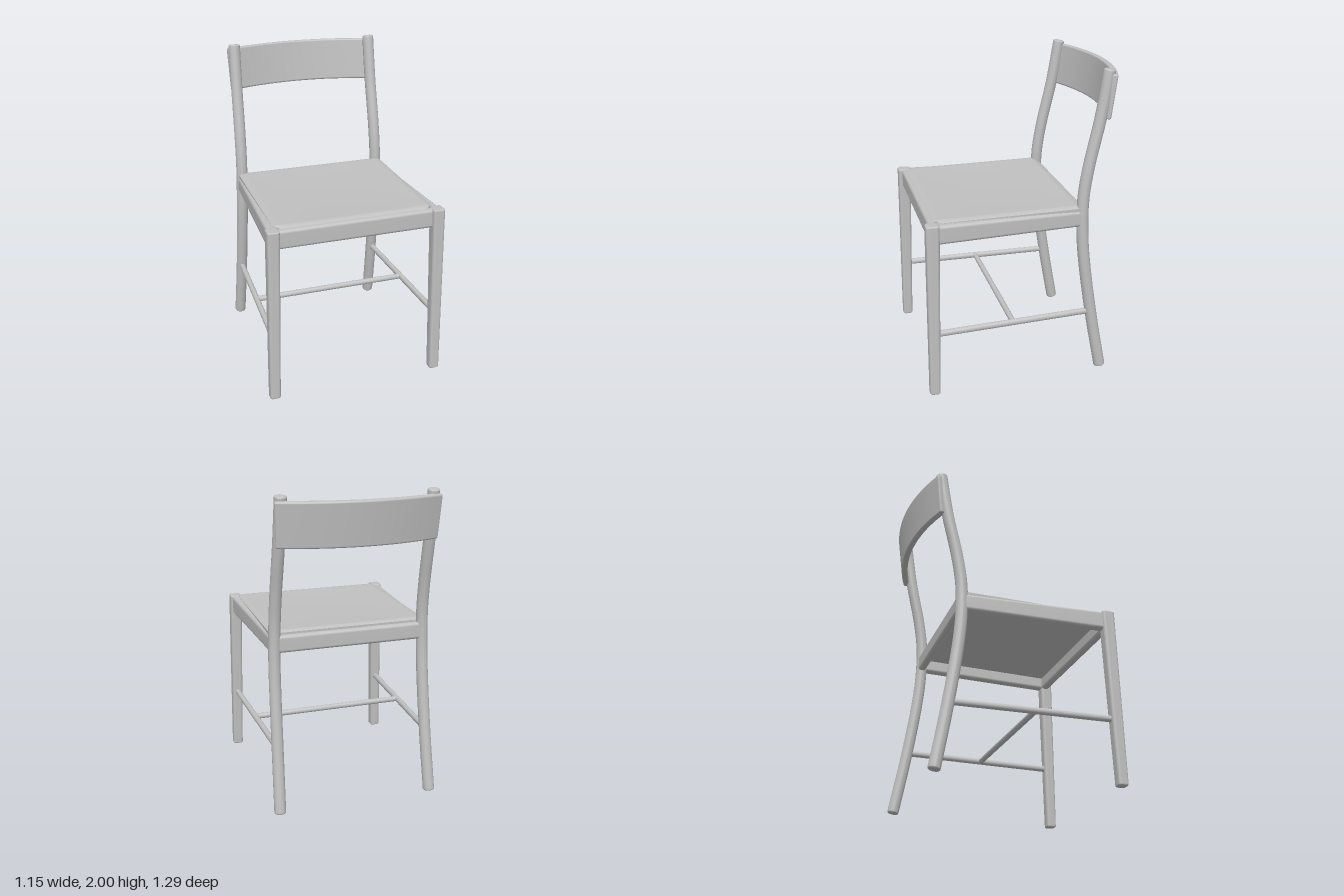
import * as THREE from 'three';

const V = (x, y, z) => new THREE.Vector3(x, y, z);

// Corner-rounded rectangle outline, counter-clockwise
function roundedRect(w, h, r, n = 5) {
  const pts = [];
  for (let q = 0; q < 4; q++) {
    const sx = q === 0 || q === 3 ? 1 : -1, sy = q < 2 ? 1 : -1;
    for (let i = 0; i <= n; i++) {
      const a = (q + (i / n) * 0.998 + 0.001) * Math.PI / 2;
      pts.push([sx * (w / 2 - r) + r * Math.cos(a), sy * (h / 2 - r) + r * Math.sin(a)]);
    }
  }
  return pts;
}

// Sweep a rounded rectangle along a smooth path, with softened closed ends.
// size and endSize are [width, height], with height measured along `up`.
function sweep(path, up, size, radius, { endSize = size, steps = 24, bevel = 0.01 } = {}) {
  const curve = new THREE.CatmullRomCurve3(path, false, 'centripetal');
  const stations = [];
  const soft = [0, 1, 2, 3].map(k => k * Math.PI / 6);
  const edge = a => ({ inset: bevel * (1 - Math.sin(a)), slide: bevel * (1 - Math.cos(a)) });
  soft.forEach(a => stations.push({ t: 0, ...edge(a) }));
  for (let i = 1; i < steps; i++) stations.push({ t: i / steps, inset: 0, slide: 0 });
  soft.slice().reverse().forEach(a => {
    const e = edge(a);
    stations.push({ t: 1, inset: e.inset, slide: -e.slide });
  });

  const pos = [], idx = [], centres = [];
  let n = 0;
  stations.forEach(({ t, inset, slide }) => {
    const tan = curve.getTangentAt(t);
    const c = curve.getPointAt(t).addScaledVector(tan, slide);
    const u = up.clone().cross(tan).normalize(), v = tan.clone().cross(u);
    const w = size[0] + (endSize[0] - size[0]) * t - 2 * inset;
    const h = size[1] + (endSize[1] - size[1]) * t - 2 * inset;
    const r = Math.min(Math.max(radius - inset, 0.002), w / 2, h / 2);
    const ring = roundedRect(w, h, r);
    n = ring.length;
    ring.forEach(([a, b]) => {
      const p = c.clone().addScaledVector(u, a).addScaledVector(v, b);
      pos.push(p.x, p.y, p.z);
    });
    centres.push(c);
  });
  const last = stations.length - 1;
  for (let i = 0; i < last; i++) {
    for (let j = 0; j < n; j++) {
      const a = i * n + j, b = i * n + (j + 1) % n;
      idx.push(a, b, a + n, b, b + n, a + n);
    }
  }
  const start = pos.length / 3;
  [centres[0], centres[last]].forEach(c => pos.push(c.x, c.y, c.z));
  for (let j = 0; j < n; j++) {
    const k = (j + 1) % n;
    idx.push(start, k, j, start + 1, last * n + j, last * n + k);
  }
  const g = new THREE.BufferGeometry();
  g.setAttribute('position', new THREE.Float32BufferAttribute(pos, 3));
  g.setIndex(idx);
  g.computeVertexNormals();
  return g;
}

// Slightly dished seat panel with eased edges and corners tucked behind the front legs
function seatPanel() {
  const w = 1.016, d = 0.934, zMid = 0.111;
  const g = new THREE.BoxGeometry(w, 0.05, d, 48, 1, 48);
  const p = g.attributes.position;
  for (let i = 0; i < p.count; i++) {
    const x = p.getX(i), z = p.getZ(i);
    const a = 2 * x / w, b = 2 * z / d;
    let y = 1.1;
    if (p.getY(i) > 0) {
      const border = Math.min(w / 2 - Math.abs(x), d / 2 - Math.abs(z));
      const ease = Math.max(0, 1 - border / 0.025);
      y = 1.154 - 0.012 * (1 - a * a) * (1 - b * b) - 0.012 * ease * ease;
    }
    let zw = z + zMid;
    if (Math.abs(x) > 0.48) zw = Math.min(zw, 0.548);
    p.setXYZ(i, x, y, zw);
  }
  g.computeVertexNormals();
  return g;
}

export function createModel() {
  const group = new THREE.Group();
  const grey = new THREE.MeshStandardMaterial({ color: 0xc0c0c0 });
  grey.name = 'light grey';
  const add = (name, geometry) => {
    const m = new THREE.Mesh(geometry, grey);
    m.name = name;
    group.add(m);
  };
  const upY = V(0, 1, 0), upZ = V(0, 0, 1);

  for (const [side, s] of [['left', 1], ['right', -1]]) {
    // Tapered square front legs
    add(side + 'FrontLeg', sweep([V(s * 0.542, 0.005, 0.61), V(s * 0.524, 1.146, 0.589)], upZ,
      [0.068, 0.066], 0.018, { endSize: [0.078, 0.084], steps: 6 }));

    // Curved round back legs running up to hold the backrest
    const backPath = [
      [0.507, 0.006, -0.51], [0.497, 0.4, -0.438], [0.49, 0.8, -0.379], [0.487, 1.0, -0.363],
      [0.482, 1.2, -0.365], [0.478, 1.4, -0.394], [0.472, 1.7, -0.46], [0.467, 1.992, -0.508],
    ].map(([x, y, z]) => V(s * x, y, z));
    add(side + 'BackLeg', sweep(backPath, upZ, [0.074, 0.074], 0.036, { steps: 40 }));

    // Side rails, dropping a little at the back
    add(side + 'SeatRail', sweep([V(s * 0.522, 1.081, 0.585), V(s * 0.484, 1.073, -0.37)], upY,
      [0.06, 0.122], 0.02, { endSize: [0.06, 0.104], steps: 8 }));

    // Side stretchers
    add(side + 'Stretcher', sweep([V(s * 0.535, 0.42, 0.6), V(s * 0.497, 0.42, -0.435)], upY,
      [0.036, 0.04], 0.018, { steps: 4, bevel: 0.004 }));
  }

  // Front and back rails
  add('frontSeatRail', sweep([V(-0.52, 1.081, 0.58), V(0.52, 1.081, 0.58)], upY, [0.054, 0.122], 0.02, { steps: 4 }));
  add('backSeatRail', sweep([V(-0.48, 1.075, -0.363), V(0.48, 1.075, -0.363)], upY, [0.05, 0.11], 0.02, { steps: 4 }));

  // Cross stretcher
  add('crossStretcher', sweep([V(-0.516, 0.42, 0.09), V(0.516, 0.42, 0.09)], upY, [0.036, 0.036], 0.017, { steps: 4, bevel: 0.004 }));

  add('seat', seatPanel());

  // Bowed backrest leaning backwards
  const arc = [];
  for (let i = 0; i <= 10; i++) {
    const k = i / 5 - 1;
    arc.push(V(k * 0.502, 1.829, -0.607 + 0.098 * k * k));
  }
  add('backrest', sweep(arc, V(0, 1, -0.125).normalize(), [0.042, 0.274], 0.012, { steps: 40 }));

  return group;
}
